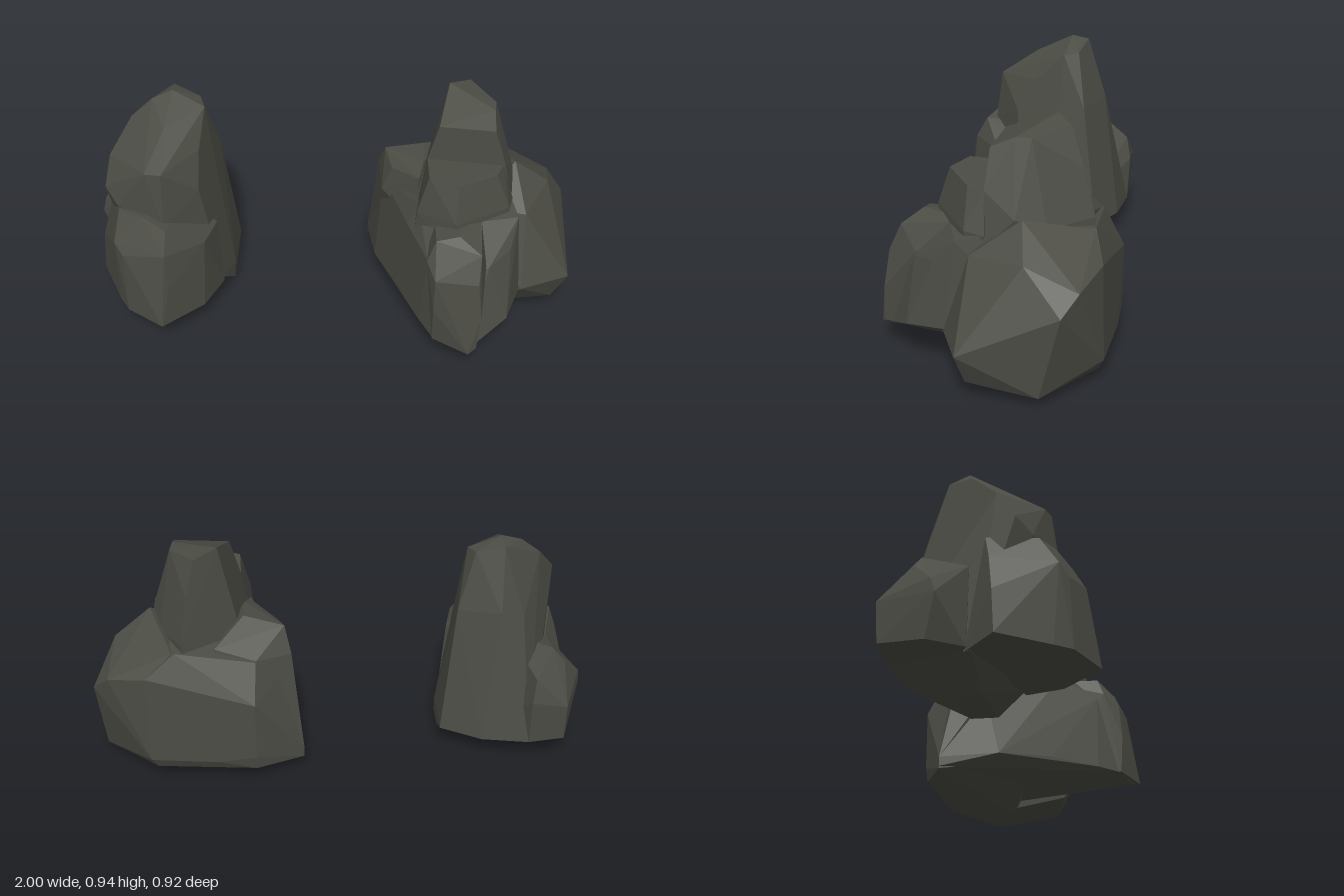
import * as THREE from 'three';
import { ConvexGeometry } from 'three/addons/geometries/ConvexGeometry.js';

const stone = new THREE.MeshStandardMaterial({ color: 0x4b4c44 });
stone.name = 'dark stone';

// One faceted boulder, given by its corner points
function boulder(name, corners) {
  const geometry = new ConvexGeometry(corners.map((c) => new THREE.Vector3(...c)));
  const mesh = new THREE.Mesh(geometry, stone);
  mesh.name = name;
  return mesh;
}

function cluster(name, parts) {
  const group = new THREE.Group();
  group.name = name;
  for (const [part, corners] of Object.entries(parts)) group.add(boulder(part, corners));
  return group;
}

// Wide outcrop with a central peak
const wide = {
  frontBody: [
    [0.12, 0.06, -0.34], [0.12, 0.1, -0.34], [0.65, 0.06, -0.14], [0.3, 0.1, -0.4], [0.7, 0.1, -0.35],
    [0.2, 0.47, -0.18], [0.33, 0.46, 0.1], [0.3, 0.13, 0.1], [0.18, 0.12, -0.1], [0.41, 0.11, 0.28],
    [0.47, 0.1, 0.36], [0.62, 0.09, 0.4], [0.76, 0.17, 0.28], [0.8, 0.19, 0.12], [0.43, 0.43, 0.28],
    [0.67, 0.41, 0.27], [0.75, 0.44, 0.17], [0.77, 0.53, 0.08], [0.74, 0.55, 0], [0.37, 0.55, 0.08],
    [0.5, 0.55, 0.2],
  ],
  frontLobe: [
    [0.47, 0.1, 0.37], [0.62, 0.09, 0.43], [0.65, 0.11, 0.41], [0.47, 0.26, 0.38], [0.66, 0.26, 0.4],
    [0.47, 0.4, 0.37], [0.64, 0.41, 0.38], [0.43, 0.45, 0.31], [0.46, 0.53, 0.28], [0.55, 0.555, 0.27],
    [0.64, 0.52, 0.33], [0.66, 0.42, 0.27], [0.43, 0.53, 0.05], [0.62, 0.55, 0.05], [0.45, 0.12, 0.1],
    [0.62, 0.12, 0.1],
  ],
  backBody: [
    [0.12, 0.05, -0.34], [0.12, 0.1, -0.34], [0.19, 0.45, -0.28], [0.3, 0.06, -0.44], [0.3, 0.12, -0.45],
    [0.3, 0.37, -0.45], [0.42, 0.4, -0.45], [0.3, 0.52, -0.37], [0.45, 0.1, -0.46], [0.7, 0.055, -0.44],
    [0.72, 0.1, -0.46], [0.72, 0.48, -0.45], [0.61, 0.57, -0.4], [0.65, 0, -0.14], [0.74, 0.58, -0.2],
    [0.4, 0.58, -0.15], [0.3, 0.12, 0.02], [0.65, 0.3, 0],
  ],
  frontStep: [
    [0.39, 0.71, -0.01], [0.69, 0.71, -0.01], [0.67, 0.71, 0.06], [0.53, 0.72, 0.17], [0.41, 0.72, 0.13],
    [0.35, 0.42, -0.02], [0.36, 0.42, 0.14], [0.37, 0.56, 0.14], [0.53, 0.57, 0.22], [0.53, 0.42, 0.24],
    [0.73, 0.56, 0.06], [0.74, 0.55, -0.02], [0.73, 0.42, 0.06],
  ],
  peak: [
    [0.45, 0.94, -0.22], [0.53, 0.92, -0.29], [0.64, 0.9, -0.17], [0.64, 0.9, -0.11], [0.43, 0.86, -0.02],
    [0.65, 0.86, -0.02], [0.39, 0.71, -0.01], [0.7, 0.71, -0.01], [0.35, 0.5, -0.01], [0.74, 0.5, -0.01],
    [0.36, 0.5, -0.22], [0.56, 0.78, -0.34], [0.73, 0.62, -0.13], [0.69, 0.58, -0.24], [0.58, 0.6, -0.39],
    [0.58, 0.48, -0.4],
  ],
  rightShoulder: [
    [0.12, 0.1, -0.34], [0.17, 0.5, -0.27], [0.2, 0.6, -0.22], [0.36, 0.64, -0.22], [0.37, 0.63, -0.1],
    [0.24, 0.57, -0.12], [0.2, 0.46, -0.12], [0.35, 0.41, 0.02], [0.36, 0.6, -0.02], [0.3, 0.52, -0.36],
    [0.46, 0.57, -0.36], [0.3, 0.12, -0.44], [0.45, 0.3, -0.2],
  ],
  leftShoulder: [
    [1, 0.2, 0.02], [0.94, 0.07, 0], [0.94, 0.04, -0.27], [0.95, 0.37, -0.35], [0.88, 0.44, -0.4],
    [0.88, 0.52, -0.2], [0.74, 0.63, -0.16], [0.8, 0.5, 0.02], [0.81, 0.19, 0.12], [0.72, 0.1, -0.46],
    [0.7, 0.055, -0.44], [0.72, 0.48, -0.45], [0.68, 0.04, -0.14], [0.7, 0.08, 0.08], [0.6, 0.5, 0],
    [0.62, 0.57, -0.4],
  ],
};

// Slim outcrop with a slanted summit
const slim = {
  slimBody: [
    [-0.64, 0.92, -0.03], [-0.65, 0.905, -0.1], [-0.54, 0.87, -0.08], [-0.51, 0.86, -0.02], [-0.72, 0.89, 0],
    [-0.8, 0.82, 0.03], [-0.69, 0.72, 0.28], [-0.62, 0.73, 0.29], [-0.51, 0.74, 0.11], [-0.64, 0.84, 0.13],
    [-0.87, 0.7, 0.14], [-0.88, 0.59, 0.21], [-0.82, 0.54, 0.26], [-0.62, 0.5, 0.32], [-0.5, 0.6, 0.19],
    [-0.47, 0.32, 0.17], [-0.43, 0.12, 0.15], [-0.41, 0.1, 0.02], [-0.41, 0.03, 0.04], [-0.43, 0.1, -0.19],
    [-0.48, 0.63, -0.12], [-0.6, 0.1, -0.26], [-0.65, 0.65, -0.18], [-0.42, 0.03, -0.06], [-0.62, 0.03, -0.08],
    [-0.67, 0.02, 0.04], [-0.79, 0.1, -0.27], [-0.74, 0.62, -0.14], [-0.85, 0.1, 0.05], [-0.6, 0.3, 0.3],
  ],
  frontLobe: [
    [-0.62, 0.09, 0.46], [-0.78, 0.1, 0.39], [-0.83, 0.1, 0.33], [-0.95, 0.11, 0.15], [-0.94, 0.28, 0.14],
    [-0.9, 0.43, 0.12], [-0.87, 0.52, 0.1], [-0.78, 0.26, 0.38], [-0.78, 0.38, 0.38], [-0.82, 0.42, 0.35],
    [-0.81, 0.53, 0.28], [-0.7, 0.54, 0.32], [-0.6, 0.51, 0.36], [-0.6, 0.42, 0.41], [-0.59, 0.26, 0.42],
    [-0.48, 0.09, 0.3], [-0.47, 0.4, 0.27], [-0.43, 0.1, 0.15], [-0.45, 0.4, 0.13], [-0.84, 0.1, 0.02],
    [-0.6, 0.5, 0.1],
  ],
  backLobe: [
    [-1, 0.26, -0.04], [-0.99, 0.32, -0.06], [-0.97, 0.1, -0.08], [-0.93, 0.12, -0.26], [-0.93, 0.28, -0.27],
    [-0.92, 0.41, -0.14], [-0.87, 0.47, -0.13], [-0.8, 0.4, -0.26], [-0.79, 0.3, -0.28], [-0.79, 0.1, -0.27],
    [-0.88, 0.1, 0.04], [-0.86, 0.42, 0.04], [-0.7, 0.45, 0], [-0.65, 0.1, -0.1],
  ],
};

export function createModel() {
  const model = new THREE.Group();
  model.name = 'rock outcrops';
  model.add(cluster('wideOutcrop', wide), cluster('slimOutcrop', slim));
  return model;
}
